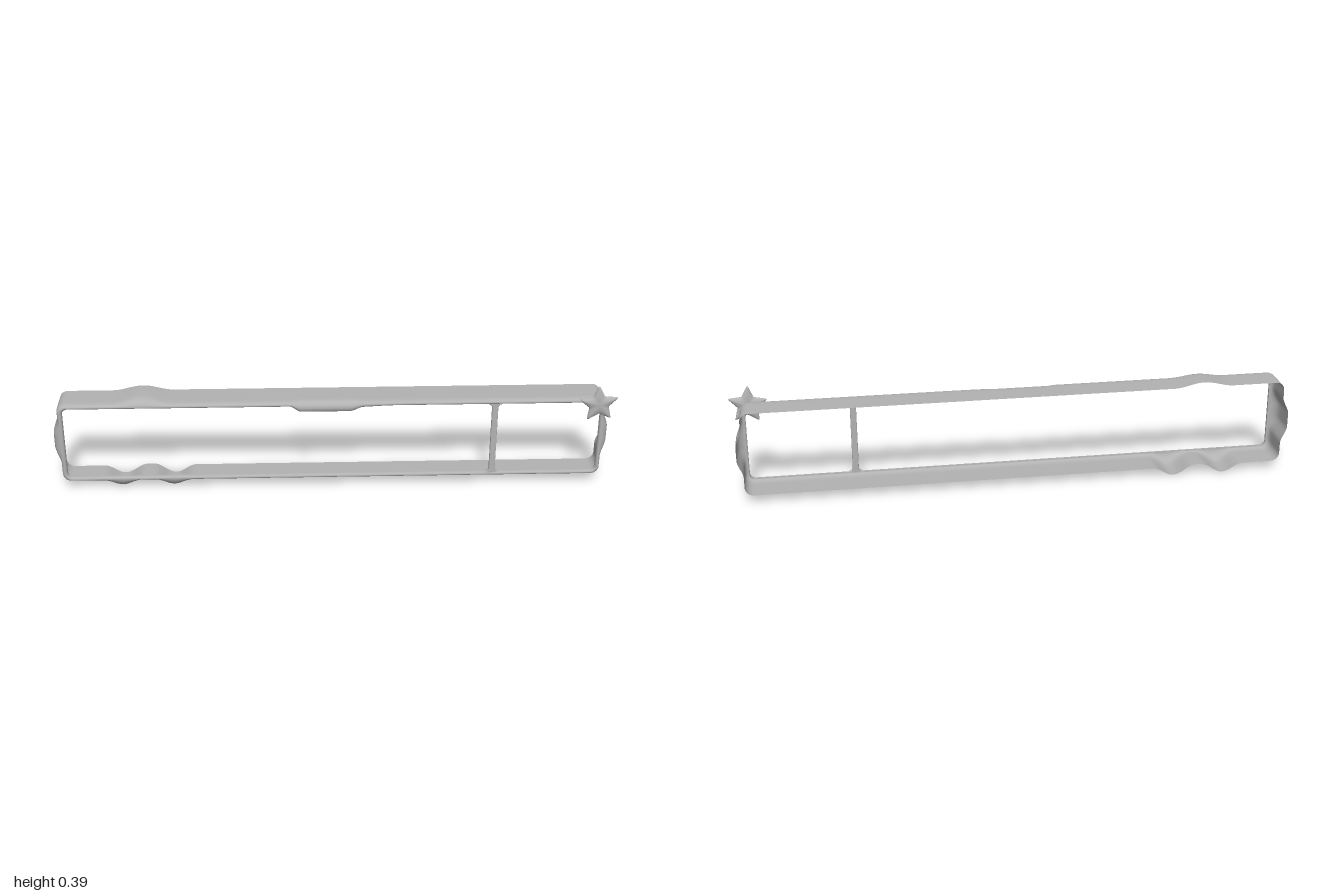
import * as THREE from 'three';

const grey = new THREE.MeshStandardMaterial({ color: 0xb2b2b2, side: THREE.DoubleSide });
grey.name = 'plain grey';

const smooth = (a, b, x) => THREE.MathUtils.smoothstep(x, a, b);
const hump = (x, c, w) => (Math.abs(x - c) < w ? Math.cos(((x - c) / w) * Math.PI / 2) ** 2 : 0);

// Smooth surface from equal-length rows of points, closed around each row
function loft(rows) {
  const n = rows[0].length, pos = [], index = [];
  rows.forEach(row => row.forEach(p => pos.push(...p)));
  for (let j = 0; j < rows.length - 1; j++) {
    for (let i = 0; i < n; i++) {
      const k = (i + 1) % n, a = j * n + i, b = j * n + k;
      index.push(a, b, b + n, a, b + n, a + n);
    }
  }
  const g = new THREE.BufferGeometry();
  g.setAttribute('position', new THREE.Float32BufferAttribute(pos, 3));
  g.setIndex(index);
  g.computeVertexNormals();
  return g;
}

// Counter-clockwise rounded rectangle, sampled densely along its sides
function contour(x0, x1, y0, y1, r) {
  const centres = [[x1 - r, y0 + r], [x1 - r, y1 - r], [x0 + r, y1 - r], [x0 + r, y0 + r]];
  const out = [];
  centres.forEach(([cx, cy], s) => {
    const start = (s - 1) * Math.PI / 2, end = start + Math.PI / 2;
    for (let i = 0; i <= 8; i++) {
      const a = start + (i / 8) * Math.PI / 2;
      out.push({ x: cx + r * Math.cos(a), y: cy + r * Math.sin(a), side: -1 });
    }
    const [nx, ny] = centres[(s + 1) % 4], steps = s % 2 ? 240 : 40;
    for (let i = 1; i < steps; i++) {
      const t = i / steps;
      out.push({
        x: cx + (nx - cx) * t + r * Math.cos(end),
        y: cy + (ny - cy) * t + r * Math.sin(end),
        side: s,
      });
    }
  });
  return out;
}

// Outward swelling of the wall on each side: right, top, left, bottom
function swell({ x, y, side }) {
  const plateau = smooth(0.10, 0.165, y) * (1 - smooth(0.215, 0.28, y));
  if (side === 0) return [0.02 * plateau, 0];
  if (side === 1) return [0, 0.018 * hump(x, -0.68, 0.11)];
  if (side === 2) return [-0.022 * plateau, 0];
  if (side === 3) {
    return [0, -0.03 * (hump(x, -0.765, 0.075) + hump(x, -0.58, 0.075)) + 0.006 * hump(x, -0.67, 0.06)];
  }
  return [0, 0];
}

// Open-backed shell whose wall rolls over into a narrow front lip
function frameGeometry() {
  const outer = contour(-0.978, 0.956, 0.031, 0.339, 0.03);
  const inner = contour(-0.958, 0.939, 0.048, 0.322, 0.02);
  inner.forEach(p => {
    if (p.side === 1) {
      p.y -= 0.015 * smooth(-0.16, -0.12, p.x) * (1 - smooth(0.05, 0.1, p.x));
      p.y -= 0.006 * smooth(-0.16, -0.12, p.x) * (1 - smooth(0.05, 0.22, p.x));
    }
  });
  // blend towards the lip, depth, share of the swelling
  const profile = [
    [0, -0.068, 1], [0, -0.03, 1], [0, 0.005, 0.96], [0, 0.022, 0.86], [0.04, 0.034, 0.7],
    [0.15, 0.043, 0.45], [0.35, 0.049, 0.18], [0.6, 0.051, 0], [0.85, 0.049, 0], [1, 0.044, 0], [1, 0.036, 0],
  ];
  return loft(profile.map(([f, z, w]) => outer.map((p, i) => {
    const q = inner[i], b = swell(p);
    return [p.x + (q.x - p.x) * f + b[0] * w, p.y + (q.y - p.y) * f + b[1] * w, z];
  })));
}

// Slim upright with flared ends
function dividerGeometry() {
  const w = 0.008, flare = 0.024, y0 = 0.046, y1 = 0.324;
  const s = new THREE.Shape();
  s.moveTo(-flare, y0);
  s.lineTo(flare, y0);
  s.quadraticCurveTo(w, y0 + 0.002, w, y0 + 0.02);
  s.lineTo(w, y1 - 0.02);
  s.quadraticCurveTo(w, y1 - 0.002, flare, y1);
  s.lineTo(-flare, y1);
  s.quadraticCurveTo(-w, y1 - 0.002, -w, y1 - 0.02);
  s.lineTo(-w, y0 + 0.02);
  s.quadraticCurveTo(-w, y0 + 0.002, -flare, y0);
  return new THREE.ExtrudeGeometry(s, {
    depth: 0.006, bevelEnabled: true, bevelSize: 0.003, bevelThickness: 0.004, bevelSegments: 3, curveSegments: 6,
  });
}

// Puffed five-pointed star
function starGeometry() {
  const corners = [], outline = [];
  for (let i = 0; i < 10; i++) {
    const a = Math.PI / 2 + 0.06 + i * Math.PI / 5, r = i % 2 ? 0.036 : 0.073;
    corners.push([r * Math.cos(a), r * Math.sin(a)]);
  }
  corners.forEach(([x, y], i) => {
    const [nx, ny] = corners[(i + 1) % 10];
    for (let k = 0; k < 6; k++) {
      const t = k ? k / 6 : 0, tip = i % 2 === 0 && k === 0 ? 0.96 : 1;
      outline.push([(x + (nx - x) * t) * tip, (y + (ny - y) * t) * tip]);
    }
  });
  const rows = [];
  for (let j = 0; j <= 24; j++) {
    const a = -Math.PI / 2 + (j / 24) * Math.PI;
    const s = Math.max(Math.cos(a), 0.001);
    rows.push(outline.map(([x, y]) => [x * s, y * s, 0.012 * Math.sin(a)]));
  }
  return loft(rows);
}

export function createModel() {
  const group = new THREE.Group();
  const add = (name, geometry, x = 0, y = 0, z = 0) => {
    const mesh = new THREE.Mesh(geometry, grey);
    mesh.name = name;
    mesh.position.set(x, y, z);
    group.add(mesh);
  };
  add('frame', frameGeometry());
  add('divider', dividerGeometry(), 0.565, 0, 0.039);
  add('star', starGeometry(), 0.929, 0.322, 0.058);
  return group;
}
